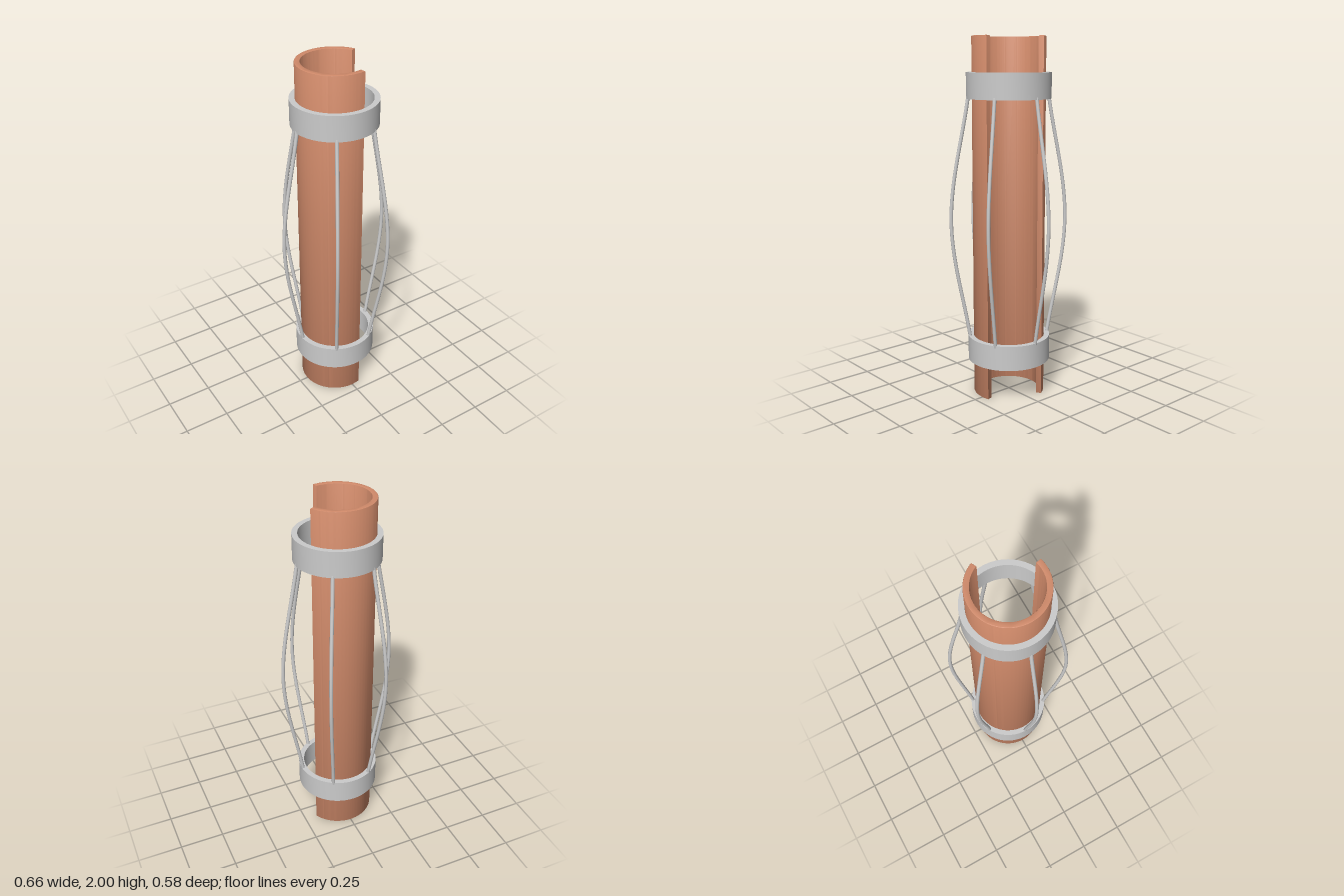
import * as THREE from 'three';
import { toCreasedNormals } from 'three/addons/utils/BufferGeometryUtils.js';

const copper = new THREE.MeshStandardMaterial({ color: 0xd08a6a });
const grey = new THREE.MeshStandardMaterial({ color: 0xcccccc });

function addMesh(parent, name, geometry, material) {
  const mesh = new THREE.Mesh(geometry, material);
  mesh.name = name;
  parent.add(mesh);
  return mesh;
}

// Tube wall with a lengthwise slot, its edges slightly rounded
function slottedTubeGeometry(outer, inner, startDeg, endDeg, height) {
  const bevel = 0.004;
  const pad = bevel / outer;
  const a = THREE.MathUtils.degToRad(startDeg) + pad;
  const b = THREE.MathUtils.degToRad(endDeg) - pad;
  const shape = new THREE.Shape();
  shape.absarc(0, 0, outer - bevel, a, b, false);
  shape.absarc(0, 0, inner + bevel, b, a, true);
  shape.closePath();
  const geometry = new THREE.ExtrudeGeometry(shape, {
    depth: height - 2 * bevel,
    curveSegments: 64,
    bevelThickness: bevel,
    bevelSize: bevel,
    bevelSegments: 2,
  });
  geometry.translate(0, 0, bevel);
  geometry.rotateX(-Math.PI / 2);
  return toCreasedNormals(geometry, 0.6);
}

// Square-section ring standing on y = 0
function collarGeometry(outer, inner, height) {
  const profile = [[inner, 0], [outer, 0], [outer, height], [inner, height], [inner, 0]];
  const points = profile.map(([r, y]) => new THREE.Vector2(r, y));
  return toCreasedNormals(new THREE.LatheGeometry(points, 96), 0.6);
}

export function createModel() {
  const model = new THREE.Group();
  model.name = 'bowSpringCentralizer';

  addMesh(model, 'slottedTube', slottedTubeGeometry(0.2, 0.17, 26, 284, 2), copper);

  // Collars at both ends of the springs
  const collar = collarGeometry(0.231, 0.201, 0.14);
  addMesh(model, 'lowerCollar', collar, grey).position.y = 0.198;
  addMesh(model, 'upperCollar', collar, grey).position.y = 1.67;

  // Six bowed springs around the tube
  const path = new THREE.CatmullRomCurve3([
    new THREE.Vector3(0.222, 0.326, 0),
    new THREE.Vector3(0.322, 1.004, 0),
    new THREE.Vector3(0.222, 1.682, 0),
  ]);
  const bow = new THREE.TubeGeometry(path, 48, 0.01, 12);
  const springs = new THREE.Group();
  springs.name = 'bowSprings';
  for (let i = 0; i < 6; i++) {
    addMesh(springs, `bowSpring${i + 1}`, bow, grey).rotation.y = (i * Math.PI) / 3;
  }
  model.add(springs);

  return model;
}
